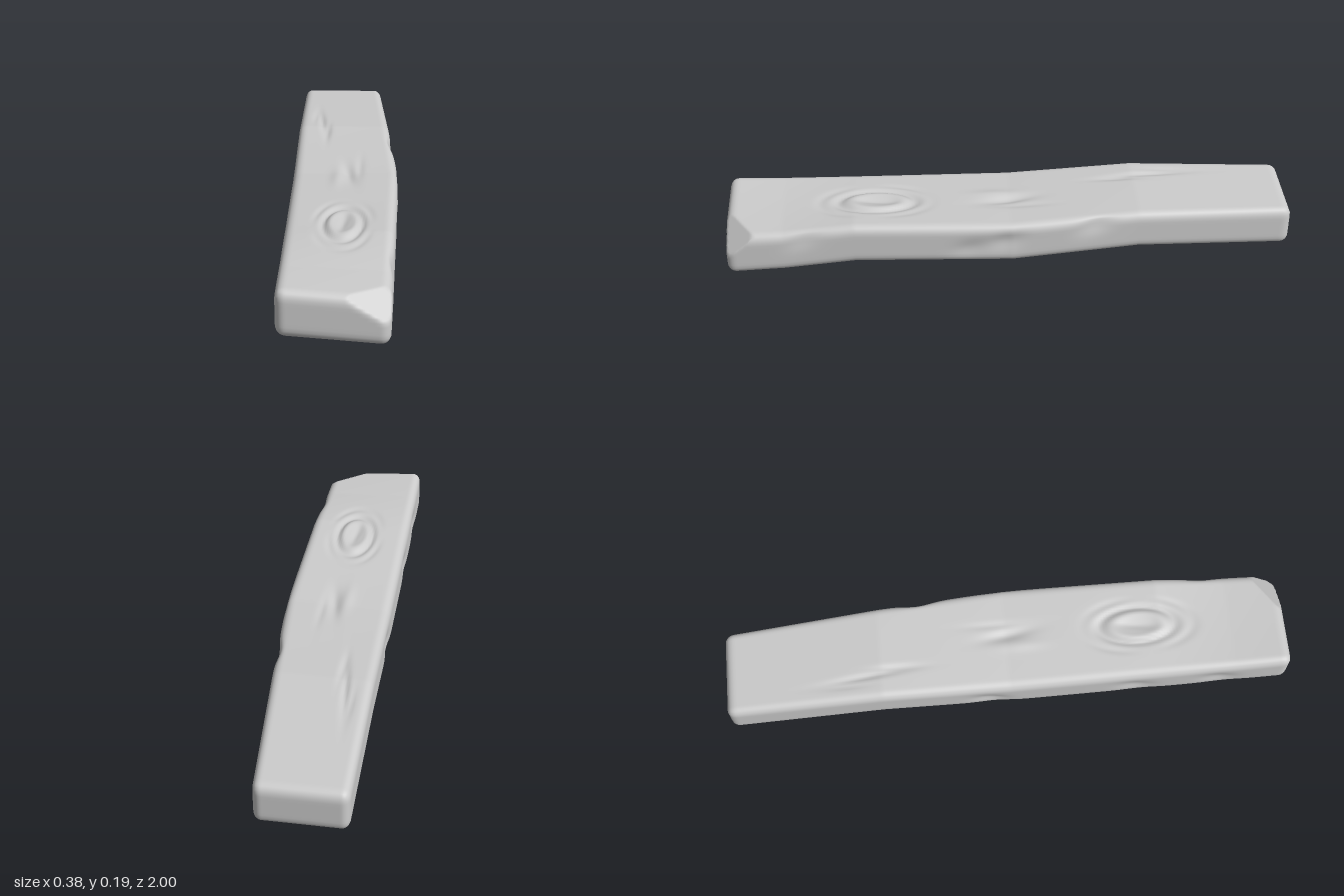
import * as THREE from 'three';
import { mergeVertices } from 'three/addons/utils/BufferGeometryUtils.js';

// Stations along the plank: z, right edge, left edge, underside, top, sideways slope
const STATIONS = [
  [-1.00, -0.195, 0.112, 0.005, 0.155, 0.00],
  [-0.45, -0.193, 0.152, 0.042, 0.188, 0.00],
  [0.00, -0.190, 0.188, 0.022, 0.173, 0.03],
  [0.55, -0.188, 0.178, 0.031, 0.184, 0.05],
  [0.80, -0.187, 0.173, 0.020, 0.173, -0.04],
  [1.00, -0.186, 0.168, 0.015, 0.174, -0.08],
];

function stationAt(z) {
  let i = 0;
  while (i < STATIONS.length - 2 && z > STATIONS[i + 1][0]) i++;
  const a = STATIONS[i], b = STATIONS[i + 1];
  const t = (z - a[0]) / (b[0] - a[0]);
  return a.map((v, k) => v + (b[k] - v) * t);
}

const bell = (t) => Math.exp(-t * t);
const oval = (u, v, cu, cv, ru, rv) => Math.hypot((u - cu) / ru, (v - cv) / rv);

// Carved wood grain on the upper face
function topRelief(x, z) {
  const knot = oval(x, z, 0.005, 0.47, 0.065, 0.135);
  let h = -0.009 * bell((knot - 1) / 0.16);
  h += 0.005 * bell((knot - 0.68) / 0.2);
  h -= 0.004 * bell((knot - 1.5) / 0.15) * (0.5 + 0.5 * Math.sin(z * 22));
  h -= 0.008 * bell(oval(x, z, 0.005 - (z - 0.47) * 0.1, 0.47, 0.016, 0.07));
  // Scar at the middle
  h -= 0.011 * bell(oval(x, z, 0.01 + z * 0.15, 0.01, 0.02, 0.09));
  h += 0.005 * bell(oval(x, z, -0.03, 0.05, 0.02, 0.08));
  h -= 0.004 * bell(oval(x, z, 0.05, -0.04, 0.012, 0.1));
  // Long cracks toward the back
  h -= 0.008 * bell(oval(x, z, -0.105 + (z + 0.5) * 0.1, -0.5, 0.011, 0.14));
  h -= 0.006 * bell(oval(x, z, -0.08, -0.4, 0.01, 0.08));
  h -= 0.004 * bell(oval(x, z, -0.135, -0.58, 0.01, 0.08));
  return h;
}

// Chips in the two long sides: side, z, height fraction, depth
const CHIPS = [
  [1, -0.30, 0.85, 0.012], [1, 0.02, 0.60, 0.010], [1, 0.15, 0.40, 0.008], [1, 0.72, 0.85, 0.008],
  [-1, -0.07, 0.35, 0.012], [-1, 0.45, 0.40, 0.010], [-1, 0.75, 0.40, 0.010],
];

function plankGeometry() {
  const half = new THREE.Vector3(0.18, 0.075, 1), r = 0.032;
  let geo = new THREE.BoxGeometry(0.36, 0.15, 2, 48, 12, 200);
  geo.deleteAttribute('uv');
  geo.deleteAttribute('normal');
  geo = mergeVertices(geo, 1e-5);

  const inner = half.clone().subScalar(r), lower = inner.clone().negate();
  const cutNormal = new THREE.Vector3(0.427, 0.694, 0.578), cutDistance = 0.699;
  const pos = geo.attributes.position;
  const p = new THREE.Vector3(), core = new THREE.Vector3();

  for (let i = 0; i < pos.count; i++) {
    // Soften the edges of the block
    p.fromBufferAttribute(pos, i);
    core.copy(p).clamp(lower, inner);
    p.sub(core).normalize().multiplyScalar(r);
    const up = Math.max(0, p.y / r), side = p.x / r;
    p.add(core);

    // Bend, taper and twist it along its length
    const [, x0, x1, y0, y1, slope] = stationAt(p.z);
    const u = p.x / 0.36 + 0.5, v = p.y / 0.15 + 0.5;
    p.x = x0 + (x1 - x0) * u;
    p.y = y0 + (y1 - y0) * v + slope * p.x;

    // Knots, cracks and chips
    p.y += up * up * topRelief(p.x, p.z);
    for (const [s, z, h, depth] of CHIPS) {
      const along = p.z - z + (v - h) * 0.08;
      p.x -= s * depth * Math.max(0, s * side) * bell(along / 0.06) * bell((v - h) / 0.25);
    }

    // Slanted cut across the front left corner
    const over = p.dot(cutNormal) - cutDistance;
    if (over > 0) p.addScaledVector(cutNormal, -over);
    pos.setXYZ(i, p.x, p.y, p.z);
  }

  // Rest on the ground
  geo.computeBoundingBox();
  geo.translate(0, -geo.boundingBox.min.y, 0);
  geo.computeVertexNormals();
  return geo;
}

export function createModel() {
  const group = new THREE.Group();
  group.name = 'woodenPlank';
  const plank = new THREE.Mesh(plankGeometry(), new THREE.MeshStandardMaterial({ color: 0xcccccc }));
  plank.name = 'plank';
  group.add(plank);
  return group;
}
